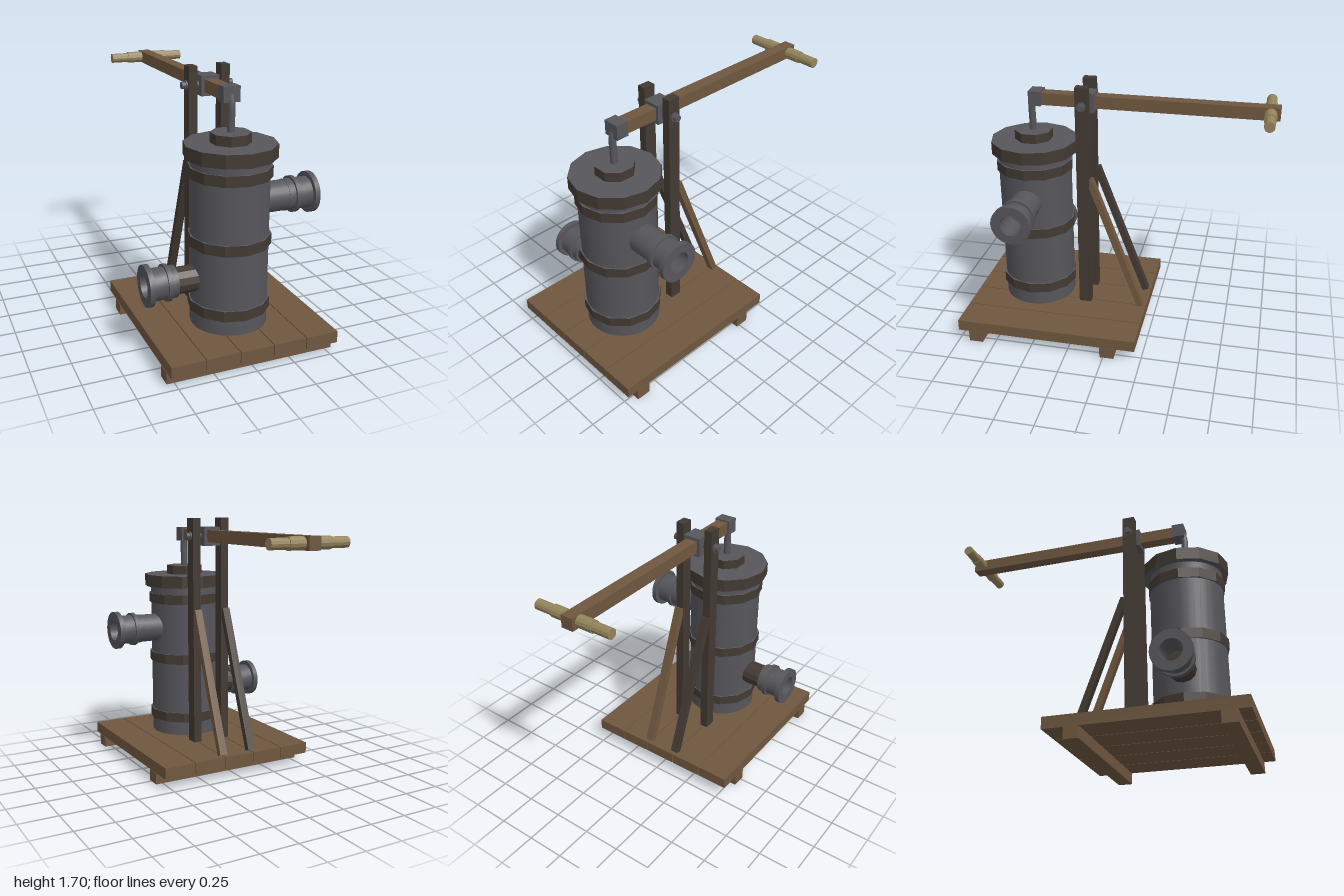
import * as THREE from 'three';
import { toCreasedNormals } from 'three/addons/utils/BufferGeometryUtils.js';

const mat = (color, flatShading = false) => new THREE.MeshStandardMaterial({ color, flatShading });
const wood = mat(0x6f573f, true);
const darkWood = mat(0x433a33, true);
const tan = mat(0x95845c, true);
const iron = mat(0x56565b);
const ironFlat = mat(0x56565b, true);
const Z = 0.575; // centre of the pump barrel

export function createModel() {
  const model = new THREE.Group();

  const add = (name, geometry, material, x, y, z) => {
    const mesh = new THREE.Mesh(geometry, material);
    mesh.name = name;
    mesh.position.set(x, y, z);
    model.add(mesh);
    return mesh;
  };
  // Box given by its min and max along each axis
  const box = (name, material, [x0, x1], [y0, y1], [z0, z1]) =>
    add(name, new THREE.BoxGeometry(x1 - x0, y1 - y0, z1 - z0), material,
      (x0 + x1) / 2, (y0 + y1) / 2, (z0 + z1) / 2);
  // Upright cylinder between two heights
  const drum = (name, material, r, y0, y1, sides, z = Z, rTop = r) =>
    add(name, new THREE.CylinderGeometry(rTop, r, y1 - y0, sides), material, 0, (y0 + y1) / 2, z);
  // Cylinder lying along x
  const bar = (name, material, r, x0, x1, y, z, sides) => {
    const mesh = add(name, new THREE.CylinderGeometry(r, r, x1 - x0, sides), material, (x0 + x1) / 2, y, z);
    mesh.rotation.z = -Math.PI / 2;
    return mesh;
  };
  const lathe = (points, sides) => toCreasedNormals(
    new THREE.LatheGeometry(points.map(([r, y]) => new THREE.Vector2(r, y)), sides), 0.6);

  // Plank platform on two runners
  for (let i = -2; i <= 2; i++) {
    const x = i * 0.2185;
    box('plank', wood, [x - 0.1065, x + 0.1065], [0.075, 0.15], [-0.21, 1]);
  }
  for (const z of [0.88, -0.025]) box('runner', wood, [-0.547, 0.547], [0, 0.076], [z - 0.047, z + 0.047]);

  // Barrel with bands, lid and gland
  drum('barrel', iron, 0.242, 0.15, 1.22, 32);
  for (const y of [0.247, 0.67, 1.097]) {
    drum('band', [darkWood, ironFlat, ironFlat], 0.257, y, y + 0.068, 12);
  }
  drum('lid', [darkWood, ironFlat, ironFlat], 0.285, 1.215, 1.298, 12);
  const gland = drum('gland', [darkWood, ironFlat, ironFlat], 0.125, 1.295, 1.36, 8);
  gland.rotation.y = Math.PI / 8;

  // Flanged pipe stub, hollow at the outer end, running along local y
  const stub = [
    [0, 0.36], [0.07, 0.36], [0.07, 0.555], [0.13, 0.555], [0.13, 0.522], [0.1, 0.522],
    [0.1, 0.432], [0.115, 0.432], [0.115, 0.406], [0.1, 0.406], [0.1, 0.362], [0, 0.362],
  ].reverse();
  const nozzle = (name, side, y) => {
    const mesh = add(name, lathe(stub, 24), iron, 0, y, Z);
    mesh.rotation.z = -side * Math.PI / 2;
    // Timber bottom of the bore
    bar('boreEnd', wood, 0.069, side > 0 ? 0.35 : -0.365, side > 0 ? 0.365 : -0.35, y, Z, 20);
  };
  nozzle('outlet', 1, 0.922);
  bar('outletNeck', iron, 0.097, 0.2, 0.365, 0.922, Z, 24);
  nozzle('inlet', -1, 0.465);
  bar('inletNeck', darkWood, 0.083, -0.37, -0.2, 0.465, Z, 12);

  // Posts and slanted braces
  const top = new THREE.Vector2(0.175, 1.08), foot = new THREE.Vector2(-0.172, 0.155);
  const run = top.clone().sub(foot);
  for (const s of [-1, 1]) {
    const x = s * 0.108;
    box('post', darkWood, [x - 0.028, x + 0.028], [0.15, 1.7], [0.175, 0.257]);
    const brace = add('brace', new THREE.BoxGeometry(0.052, run.length(), 0.042),
      s < 0 ? darkWood : wood, x, (top.y + foot.y) / 2, (top.x + foot.x) / 2);
    brace.rotation.x = Math.atan2(run.x, run.y);
    // Axle collar on the outside of each post
    const collar = [s * 0.13, s * 0.145].sort((a, b) => a - b);
    bar('collar', iron, 0.03, ...collar, 1.58, 0.215, 12);
  }
  bar('axle', iron, 0.022, -0.17, 0.17, 1.58, 0.215, 12);

  // Lever with pivot block, end block and cross handle
  box('lever', wood, [-0.04, 0.04], [1.54, 1.62], [-1, 0.54]);
  box('pivotBlock', ironFlat, [-0.06, 0.06], [1.515, 1.64], [0.152, 0.275]);
  box('endBlock', ironFlat, [-0.054, 0.054], [1.535, 1.63], [0.503, 0.585]);
  bar('handle', tan, 0.033, -0.265, 0.265, 1.58, -0.94, 12);
  bar('handleGrip', tan, 0.039, -0.145, 0.145, 1.58, -0.94, 12);

  // Piston rod, bending into the end block
  const path = new THREE.CatmullRomCurve3([
    [0, 1.3, 0.578], [0, 1.42, 0.578], [0, 1.52, 0.578], [0, 1.58, 0.566],
  ].map(p => new THREE.Vector3(...p)));
  add('pistonRod', new THREE.TubeGeometry(path, 16, 0.023, 12), iron, 0, 0, 0);

  return model;
}
